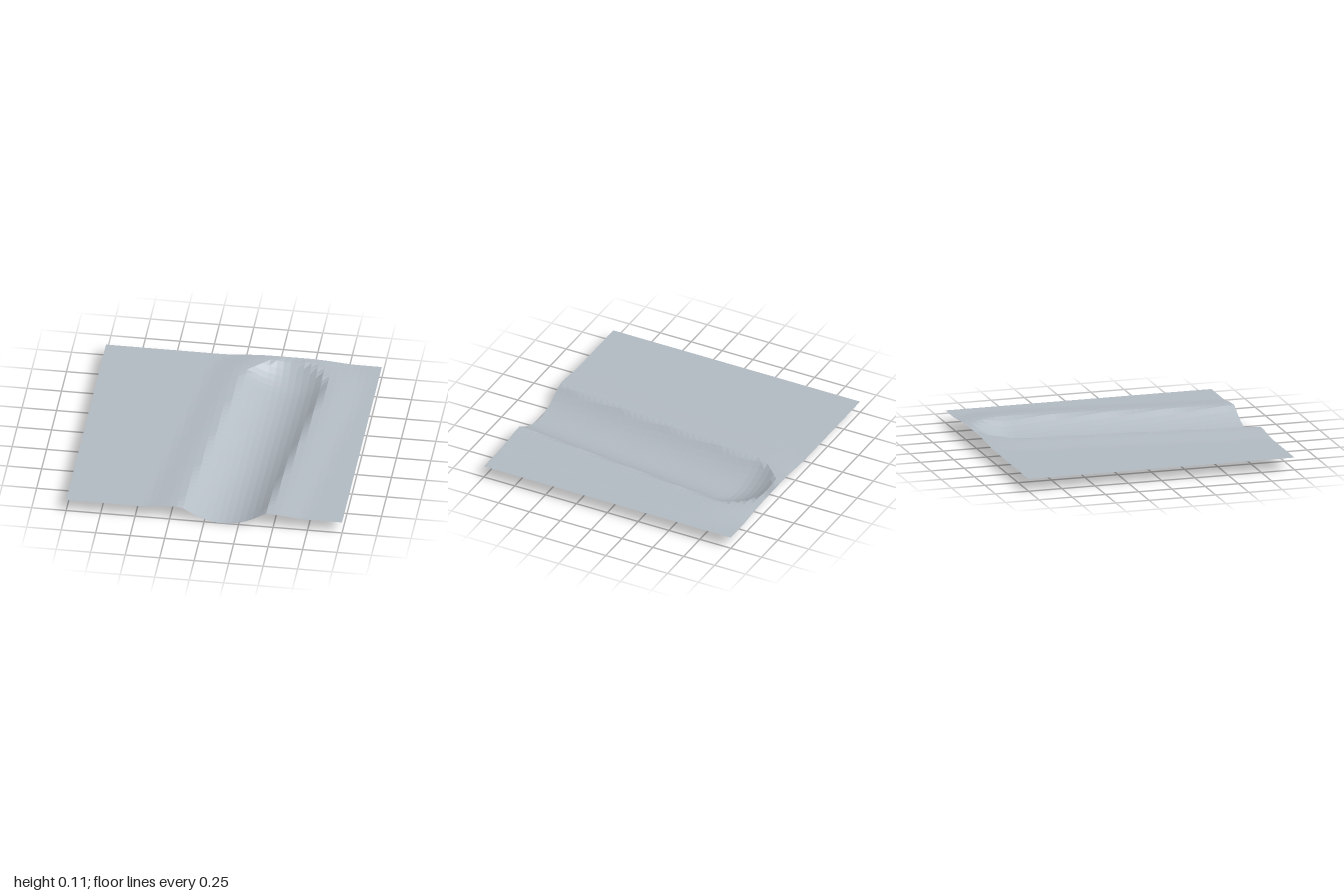
import * as THREE from 'three';

// Trench axis: from the front edge to the centre of its rounded end
const START = new THREE.Vector3(0.137, 0, 1);
const END = new THREE.Vector3(0.335, 0, -0.665);
const TRENCH_RADIUS = 0.3;
const BANK_RADIUS = 0.6;
const GROUND = 0.091;
const RIM = 0.112;

// Height from the distance to the axis: parabolic bed, rounded bank, level ground
function heightAt(x, z) {
  const dx = END.x - START.x;
  const dz = END.z - START.z;
  const t = ((x - START.x) * dx + (z - START.z) * dz) / (dx * dx + dz * dz);
  // The axis runs on past the front edge and stops at the rounded end
  const s = Math.min(t, 1);
  const d = Math.hypot(x - START.x - s * dx, z - START.z - s * dz);
  if (d < TRENCH_RADIUS) return RIM * (d / TRENCH_RADIUS) ** 2;
  return GROUND + (RIM - GROUND) * (1 - THREE.MathUtils.smoothstep(d, TRENCH_RADIUS + 0.04, BANK_RADIUS));
}

export function createModel() {
  const group = new THREE.Group();
  group.name = 'trenchTerrain';

  const stone = new THREE.MeshStandardMaterial({
    color: 0xb4bcc4,
    flatShading: true,
    side: THREE.DoubleSide,
  });
  stone.name = 'pale grey ground';

  // Ground sheet, shaped vertex by vertex
  const geometry = new THREE.PlaneGeometry(2, 2, 40, 40).rotateX(-Math.PI / 2);
  const position = geometry.attributes.position;
  for (let i = 0; i < position.count; i++) {
    position.setY(i, heightAt(position.getX(i), position.getZ(i)));
  }
  geometry.computeVertexNormals();

  const ground = new THREE.Mesh(geometry, stone);
  ground.name = 'groundWithTrench';
  group.add(ground);
  return group;
}
